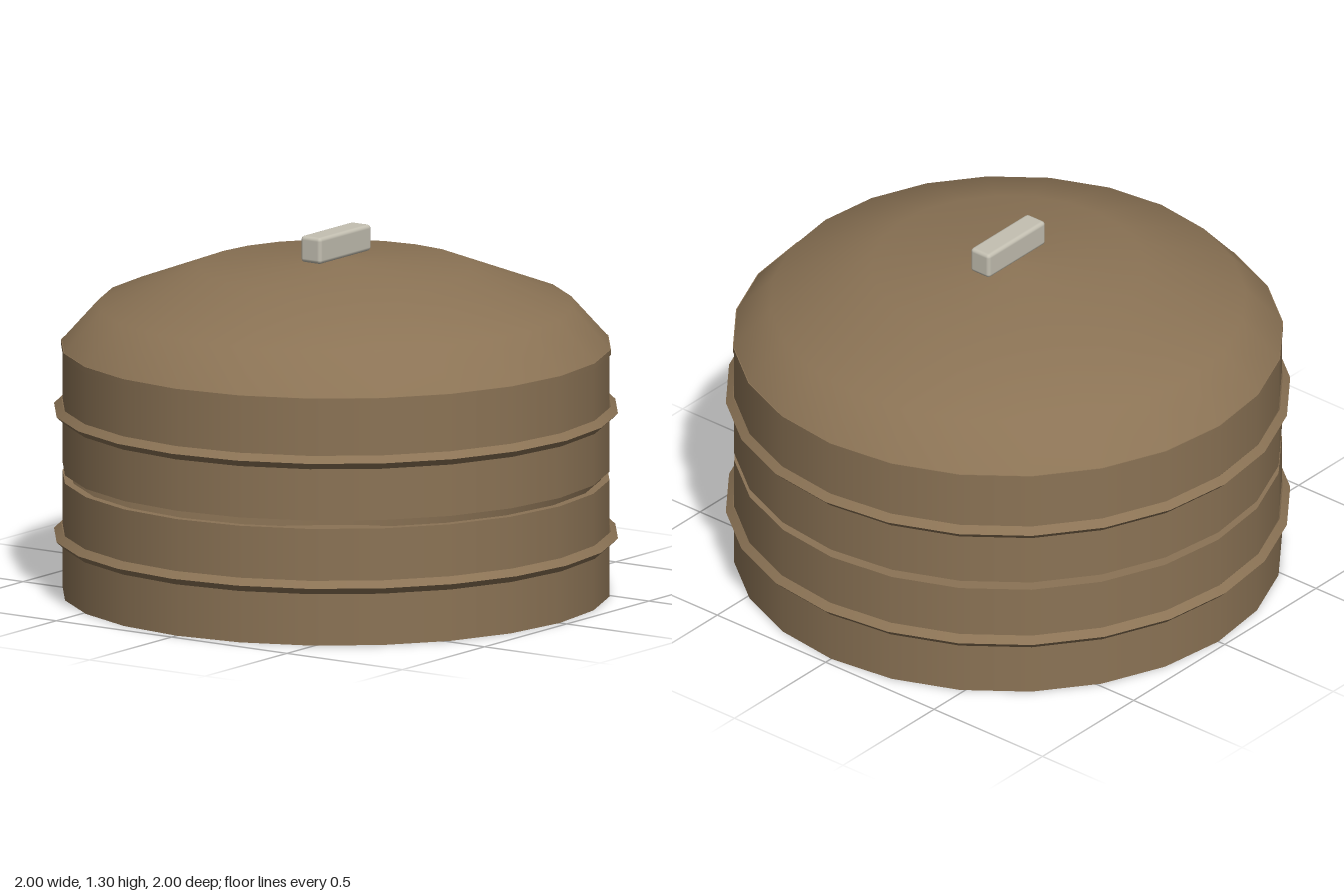
import * as THREE from 'three';
import { mergeGeometries } from 'three/addons/utils/BufferGeometryUtils.js';
import { RoundedBoxGeometry } from 'three/addons/geometries/RoundedBoxGeometry.js';

const SIDES = 24;
const WALL_R = 0.97, INNER_R = 0.94, BASKET_H = 0.42, STEP = 0.45;

const bamboo = new THREE.MeshStandardMaterial({ color: 0x8b7355 });
bamboo.name = 'bamboo brown';
const paleGrey = new THREE.MeshStandardMaterial({ color: 0xc4c0b2 });
paleGrey.name = 'pale grey';

const lathe = (pts) => new THREE.LatheGeometry(pts.map(([r, y]) => new THREE.Vector2(r, y)), SIDES);

// Closed ring of revolution, smooth around but sharp at each profile corner
const sharpRing = (pts) => mergeGeometries(pts.map((p, i) => lathe([p, pts[(i + 1) % pts.length]])));

function part(parent, name, geometry, material, y = 0) {
  const mesh = new THREE.Mesh(geometry, material);
  mesh.name = name;
  mesh.position.y = y;
  parent.add(mesh);
  return mesh;
}

function makeBasket(name) {
  const basket = new THREE.Group();
  basket.name = name;
  part(basket, 'basketWall', sharpRing([
    [INNER_R, 0], [WALL_R, 0], [WALL_R, BASKET_H], [INNER_R, BASKET_H],
  ]), bamboo);
  // Recessed floor
  part(basket, 'basketFloor', new THREE.CylinderGeometry(INNER_R, INNER_R, 0.02, SIDES), bamboo, 0.04);
  // Diamond-section hoop around the middle
  part(basket, 'hoop', sharpRing([
    [0.975, -0.024], [1, 0], [0.975, 0.024], [0.95, 0],
  ]), bamboo, 0.21);
  return basket;
}

export function createModel() {
  const model = new THREE.Group();
  model.name = 'steamer';

  // Two stacked baskets with a small gap
  ['lowerBasket', 'upperBasket'].forEach((name, i) => {
    const basket = makeBasket(name);
    basket.position.y = i * STEP;
    model.add(basket);
  });

  // Domed lid with a narrow rim and a closed underside
  const lid = new THREE.Group();
  lid.name = 'lid';
  part(lid, 'lidRim', new THREE.CylinderGeometry(0.975, 0.975, 0.02, SIDES), bamboo, 0.88);
  part(lid, 'lidDome', lathe([[0.972, 0.89], [0.842, 1.035], [0.485, 1.17], [0, 1.207]]), bamboo);
  model.add(lid);

  // Handle bar
  part(model, 'handle', new RoundedBoxGeometry(0.315, 0.095, 0.088, 2, 0.014), paleGrey, 1.254);

  return model;
}
